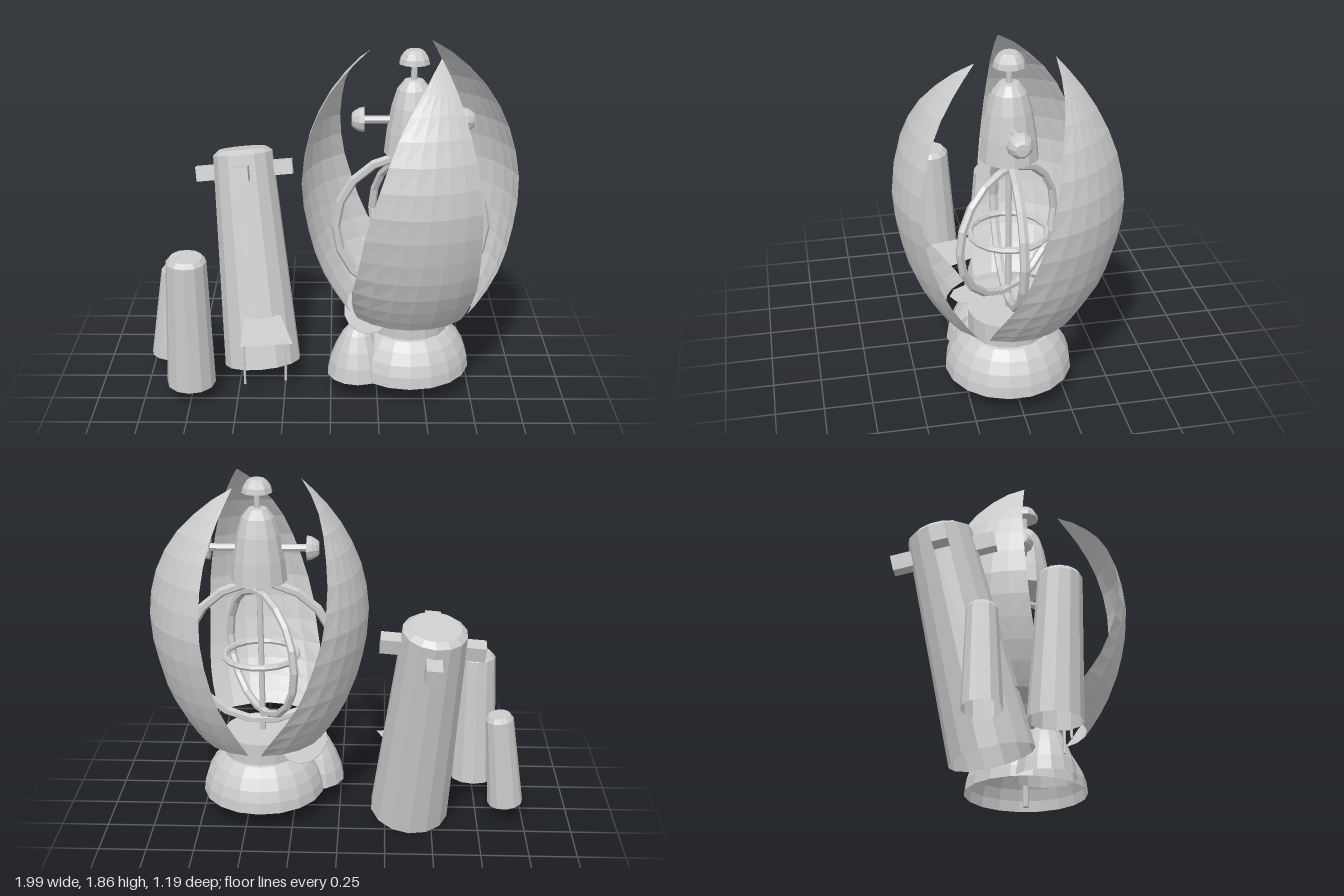
import * as THREE from 'three';

const mat = new THREE.MeshStandardMaterial({ color: 0xcccccc, flatShading: true, side: THREE.DoubleSide });
const V = (x, y, z) => new THREE.Vector3(x, y, z);

function add(parent, name, geometry, x = 0, y = 0, z = 0) {
  const mesh = new THREE.Mesh(geometry, mat);
  mesh.name = name;
  mesh.position.set(x, y, z);
  parent.add(mesh);
  return mesh;
}

const lathe = (profile, sides) =>
  new THREE.LatheGeometry(profile.map(([r, y]) => new THREE.Vector2(r, y)), sides);

// Smooth interpolation through [height, value] pairs
function curveOf(pairs) {
  const curve = new THREE.SplineCurve(pairs.map(([y, v]) => new THREE.Vector2(y, v)));
  const pts = curve.getPoints(120);
  return (y) => {
    const i = pts.findIndex((p) => p.x >= y - 1e-6);
    if (i < 0) return pts[pts.length - 1].y;
    if (i === 0) return pts[0].y;
    const a = pts[i - 1], b = pts[i];
    return a.y + (b.y - a.y) * (y - a.x) / (b.x - a.x);
  };
}

// One curved shell leaf: radius and both edge angles (degrees) vary with height
function petalGeometry() {
  const radius = curveOf([[0.47, 0.335], [0.6, 0.42], [0.8, 0.51], [1.13, 0.573], [1.4, 0.537], [1.6, 0.452], [1.75, 0.345], [1.87, 0.225]]);
  const edgeA = curveOf([[0.47, 38], [0.8, 50], [1.1, 55], [1.55, 58], [1.87, 57]]);
  const edgeB = curveOf([[0.47, 147], [0.8, 125], [1.1, 115], [1.55, 101], [1.72, 88], [1.8, 78], [1.87, 58]]);
  const rows = 14, cols = 6, pos = [], idx = [];
  for (let i = 0; i <= rows; i++) {
    // rows bunch slightly toward both ends
    const y = 1.17 - 0.7 * Math.cos(Math.PI * i / rows) * 0.5 - 0.35 + 0.7 * i / rows;
    for (let j = 0; j <= cols; j++) {
      const a = THREE.MathUtils.degToRad(THREE.MathUtils.lerp(edgeA(y), edgeB(y), j / cols));
      pos.push(radius(y) * Math.cos(a), y, radius(y) * Math.sin(a));
      if (i < rows && j < cols) {
        const k = i * (cols + 1) + j, n = k + cols + 1;
        idx.push(k, k + 1, n, k + 1, n + 1, n);
      }
    }
  }
  const g = new THREE.BufferGeometry();
  g.setAttribute('position', new THREE.Float32BufferAttribute(pos, 3));
  g.setIndex(idx);
  g.computeVertexNormals();
  return g;
}

// Tapered leaning tower, open below, with a bevelled flat top
function leaningTower(parent, name, bottom, top, r0, r1, sides) {
  const axis = top.clone().sub(bottom), h = axis.length();
  const tower = new THREE.Group();
  tower.name = name;
  tower.position.copy(bottom);
  tower.quaternion.setFromUnitVectors(V(0, 1, 0), axis.normalize());
  add(tower, name + 'Body', lathe([[r0, 0], [r1, h - 0.025], [r1 * 0.8, h], [0, h]], sides));
  parent.add(tower);
  return tower;
}

function createFlower() {
  const flower = new THREE.Group();
  flower.name = 'flowerBuilding';
  flower.position.set(0.42, 0, 0.02);

  // Base domes, neck and thin platform
  add(flower, 'baseDome', lathe([[0.332, 0.12], [0.325, 0.18], [0.305, 0.24], [0.27, 0.3], [0.225, 0.345], [0.2, 0.352]], 18));
  add(flower, 'sideDome', lathe([[0.165, 0.12], [0.15, 0.2], [0.12, 0.28], [0.08, 0.36], [0.055, 0.39], [0, 0.39]], 14), -0.275, 0, 0.12);
  add(flower, 'neck', new THREE.CylinderGeometry(0.21, 0.21, 0.13, 16), 0, 0.405, 0);
  add(flower, 'platform', new THREE.CylinderGeometry(1, 1, 0.005, 14), -0.22, 0.418, -0.02).scale.set(0.13, 1, 0.29);

  // Three petals
  const petal = petalGeometry();
  for (let i = 0; i < 3; i++) add(flower, 'petal', petal).rotation.y = i * Math.PI * 2 / 3;

  // Mast with rings
  add(flower, 'mast', new THREE.CylinderGeometry(0.016, 0.016, 1.78, 8), 0, 0.94, 0);
  add(flower, 'outerRing', new THREE.TorusGeometry(0.395, 0.025, 6, 18), 0, 0.92, 0);
  add(flower, 'middleRing', new THREE.TorusGeometry(0.34, 0.022, 6, 18), 0, 0.92, 0).rotation.y = -0.96;
  add(flower, 'innerRing', new THREE.TorusGeometry(0.195, 0.017, 6, 18), 0, 0.91, 0).rotation.x = Math.PI / 2;

  // Bell, crown cap and side knobs
  add(flower, 'bell', lathe([[0, 1.33], [0.147, 1.33], [0.135, 1.45], [0.112, 1.58], [0.085, 1.67], [0.05, 1.715], [0, 1.72]], 12));
  const knob = lathe([[0, 0], [1, 0], [0.92, 0.4], [0.7, 0.78], [0.5, 0.98], [0, 1]], 10);
  add(flower, 'crownCap', knob, 0, 1.8, 0).scale.set(0.08, 0.07, 0.08);
  for (const s of [-1, 1]) {
    add(flower, 'knobArm', new THREE.CylinderGeometry(0.02, 0.02, 0.18, 6), s * 0.17, 1.505, 0).rotation.z = Math.PI / 2;
    const k = add(flower, 'sideKnob', knob, s * 0.25, 1.505, 0);
    k.scale.setScalar(0.065);
    k.rotation.z = -s * Math.PI / 2;
  }
  return flower;
}

export function createModel() {
  const model = new THREE.Group();
  model.name = 'gardenTowers';
  model.add(createFlower());

  // Tall tower with four blocks around its top
  const tall = leaningTower(model, 'tallTower', V(-0.382, 0.06, -0.09), V(-0.487, 1.225, -0.36), 0.212, 0.165, 14);
  for (let i = 0; i < 4; i++) {
    const a = i * Math.PI / 2;
    add(tall, 'towerBlock', new THREE.BoxGeometry(0.13, 0.08, 0.08), Math.cos(a) * 0.2, 1.08, Math.sin(a) * 0.2).rotation.y = -a;
  }
  leaningTower(model, 'middleTower', V(-0.747, 0.1, 0.225), V(-0.745, 0.84, 0.257), 0.13, 0.106, 12);
  leaningTower(model, 'smallTower', V(-0.905, 0.105, -0.09), V(-0.85, 0.63, -0.1), 0.095, 0.075, 12);

  // Awning over the tall tower's entrance, on two thin legs
  const sheet = new THREE.BufferGeometry();
  sheet.setAttribute('position', new THREE.Float32BufferAttribute([
    -0.475, 0.385, 0, -0.475, 0.35, 0.31, -0.2, 0.345, 0.265, -0.275, 0.385, 0], 3));
  sheet.setIndex([0, 1, 2, 0, 2, 3]);
  sheet.computeVertexNormals();
  add(model, 'awning', sheet);
  for (const [x, z] of [[-0.455, 0.29], [-0.24, 0.25]])
    add(model, 'awningLeg', new THREE.CylinderGeometry(0.007, 0.007, 0.23, 6), x, 0.235, z);

  return model;
}
